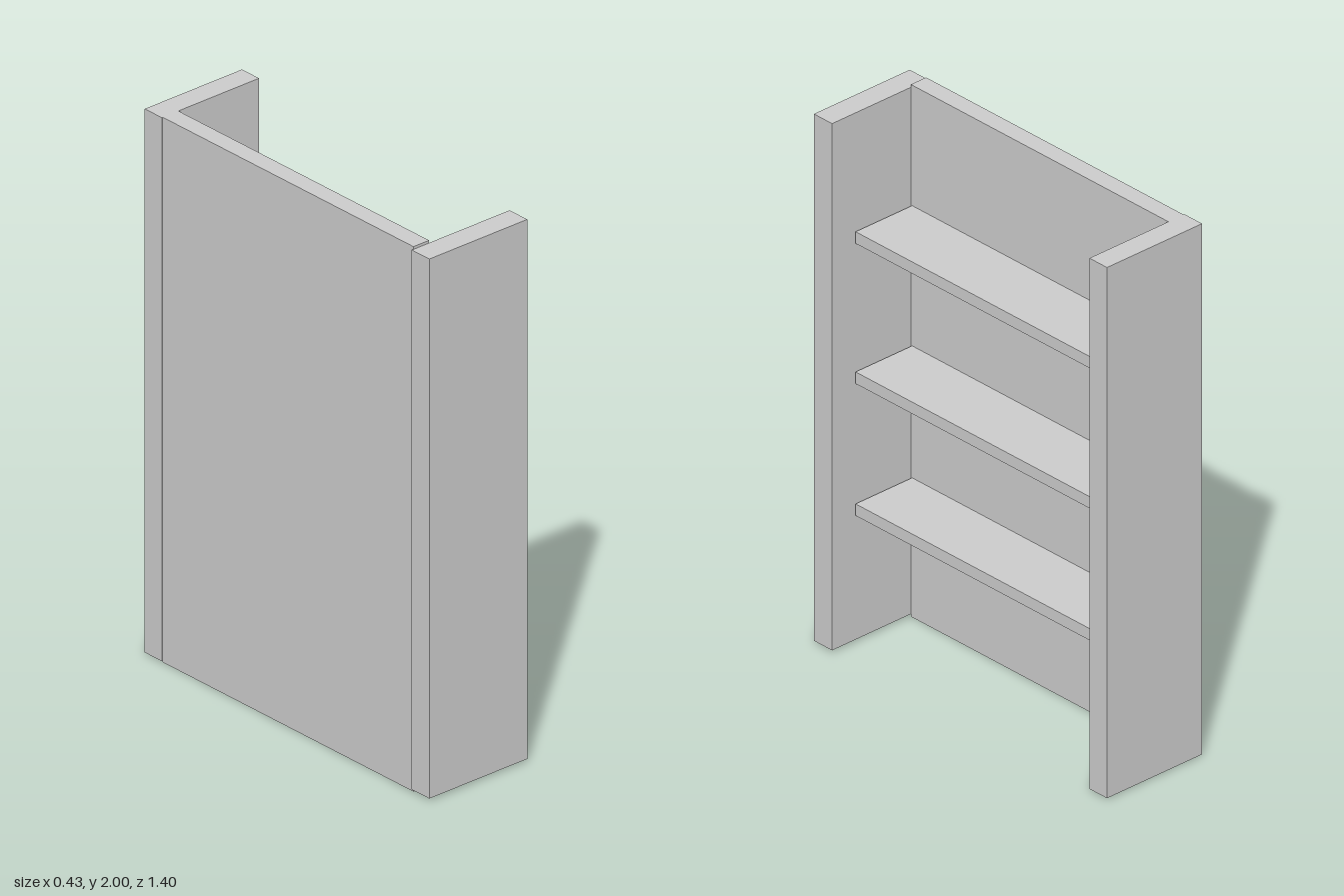
import * as THREE from 'three';

export function createModel() {
  const group = new THREE.Group();
  const material = new THREE.MeshStandardMaterial({ color: 0xcccccc, flatShading: true });

  // Box given by its lower and upper limits on each axis
  function board(name, [x0, x1], [y0, y1], [z0, z1]) {
    const mesh = new THREE.Mesh(new THREE.BoxGeometry(x1 - x0, y1 - y0, z1 - z0), material);
    mesh.position.set((x0 + x1) / 2, (y0 + y1) / 2, (z0 + z1) / 2);
    mesh.name = name;
    group.add(mesh);
  }

  // Upright end panels
  board('frontSidePanel', [-0.215, 0.212], [0.01, 1.99], [0.615, 0.702]);
  board('rearSidePanel', [-0.212, 0.212], [0.005, 2], [-0.702, -0.618]);

  // Tall panel closing the shelf unit
  board('backPanel', [-0.208, -0.14], [0, 2], [-0.62, 0.616]);

  // Three shelves, let into the back panel and stopping just short of one end
  for (const y of [0.502, 0.998, 1.525]) {
    board('shelf', [-0.2, 0.112], [y - 0.022, y + 0.022], [-0.62, 0.61]);
  }

  return group;
}
